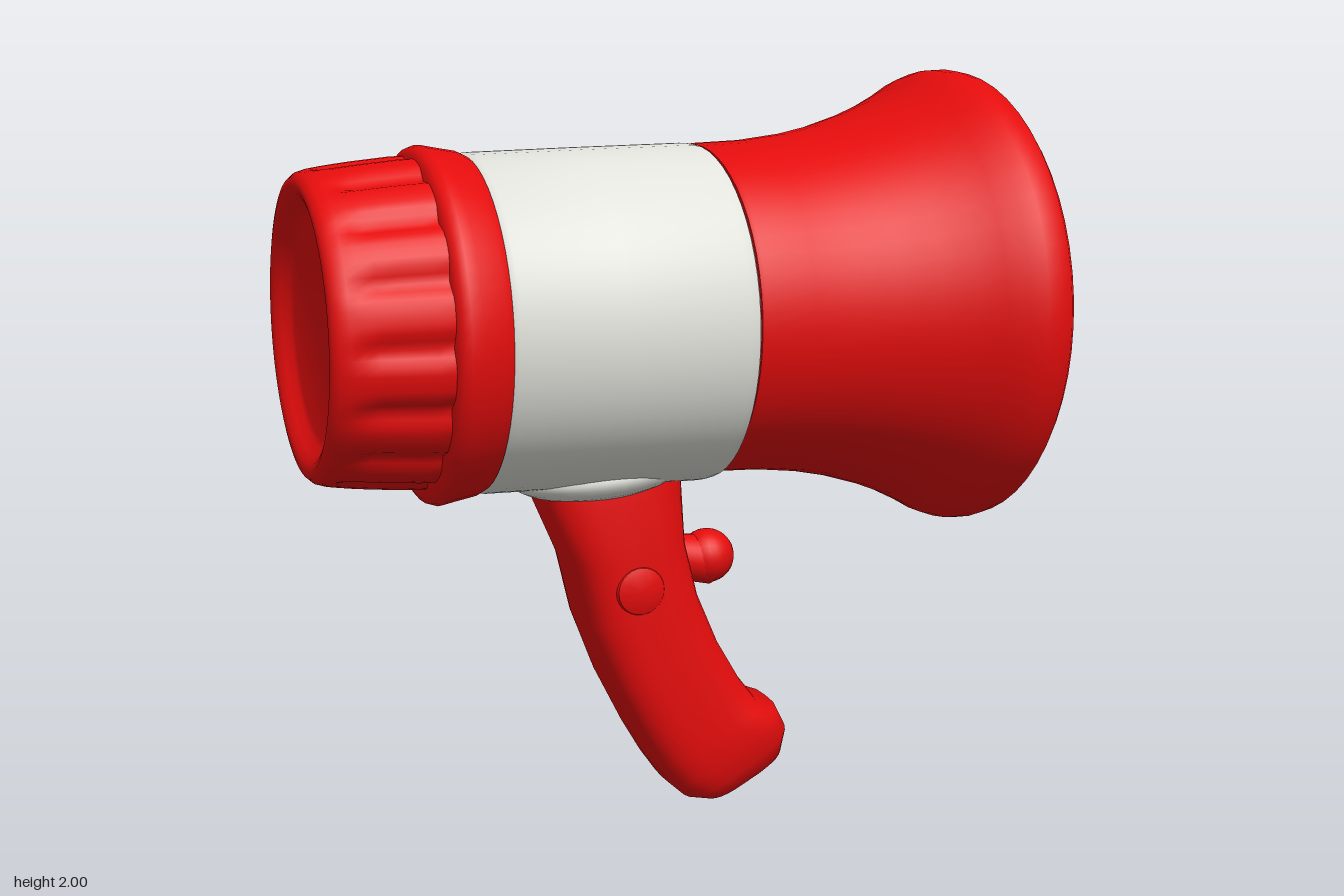
import * as THREE from 'three';
import { toCreasedNormals } from 'three/addons/utils/BufferGeometryUtils.js';

const red = new THREE.MeshStandardMaterial({ color: 0xe40c0c });
red.name = 'red plastic';
const white = new THREE.MeshStandardMaterial({ color: 0xe2e2dc });
white.name = 'off-white plastic';

function addMesh(parent, name, geometry, material, crease = 0.7) {
  const mesh = new THREE.Mesh(toCreasedNormals(geometry, crease), material);
  mesh.name = name;
  parent.add(mesh);
  return mesh;
}

// Profile of [x, radius] pairs revolved about the x axis
function revolve(profile, segments = 56) {
  const points = profile.map(([x, r]) => new THREE.Vector2(r, x));
  return new THREE.LatheGeometry(points, segments).rotateZ(-Math.PI / 2);
}

// Presses evenly spaced narrow grooves into the cap wall, open towards the collar
function flute(geometry, count, start, depth) {
  const p = geometry.attributes.position;
  for (let i = 0; i < p.count; i++) {
    const x = p.getX(i), y = p.getY(i), z = p.getZ(i);
    if (x < start || Math.hypot(y, z) < 0.37) continue;
    const along = Math.min(1, (x - start) / 0.08);
    const around = Math.abs(Math.cos(Math.atan2(z, y) * count / 2)) ** 6;
    const k = 1 - depth * along * around;
    p.setXYZ(i, x, y * k, z * k);
  }
  return geometry;
}

// Skins rounded-box sections, each [backX, backY, frontX, frontY, halfDepth], from top to bottom
function loft(sections, sides = 32) {
  const positions = [], index = [];
  const soften = (v) => Math.sign(v) * Math.abs(v) ** 0.6;
  sections.forEach(([bx, by, fx, fy, depth], i) => {
    for (let j = 0; j < sides; j++) {
      const t = (j / sides) * Math.PI * 2;
      const s = 0.5 + 0.5 * soften(Math.cos(t));
      positions.push(bx + (fx - bx) * s, by + (fy - by) * s, depth * soften(Math.sin(t)));
      if (i === sections.length - 1) continue;
      const a = i * sides + j, b = i * sides + (j + 1) % sides;
      index.push(a, b, a + sides, b, b + sides, a + sides);
    }
  });
  const geometry = new THREE.BufferGeometry();
  geometry.setAttribute('position', new THREE.Float32BufferAttribute(positions, 3));
  geometry.setIndex(index);
  return geometry;
}

// Group for revolved parts whose cross-section is slightly oval
function ovalGroup(parent, name, y, scaleY) {
  const group = new THREE.Group();
  group.name = name;
  group.position.y = y;
  group.scale.y = scaleY;
  parent.add(group);
  return group;
}

export function createModel() {
  const model = new THREE.Group();
  model.name = 'megaphone';

  // Flared horn with its lining and core
  const horn = ovalGroup(model, 'horn', 1.38, 0.96);
  addMesh(horn, 'bell', revolve([
    [0.14, 0.4], [0.14, 0.454], [0.15, 0.458], [0.28, 0.463], [0.4, 0.478], [0.5, 0.5],
    [0.6, 0.532], [0.68, 0.565], [0.75, 0.602], [0.8, 0.633], [0.84, 0.648], [0.875, 0.65],
    [0.91, 0.642], [0.927, 0.622], [0.931, 0.6], [0.928, 0.57], [0.91, 0.548],
  ]), red);

  addMesh(horn, 'bellLining', revolve([
    [0.91, 0.548], [0.85, 0.52], [0.75, 0.469], [0.6, 0.386], [0.5, 0.325],
    [0.44, 0.28], [0.41, 0.245], [0.4, 0],
  ]), white);

  addMesh(horn, 'speakerCore', revolve([
    [0.4, 0.25], [0.43, 0.22], [0.48, 0.2], [0.55, 0.19], [0.85, 0.168],
    [0.885, 0.16], [0.902, 0.14], [0.905, 0],
  ], 32), white);

  // Barrel and the raised ring behind it
  const barrel = ovalGroup(model, 'barrel', 1.37, 0.985);
  addMesh(barrel, 'body', revolve([
    [-0.5, 0.38], [-0.5, 0.438], [-0.485, 0.447], [-0.2, 0.453], [0.11, 0.458],
    [0.135, 0.453], [0.142, 0.44], [0.142, 0.38],
  ]), white);

  addMesh(barrel, 'collar', revolve([
    [-0.645, 0.4], [-0.642, 0.445], [-0.63, 0.462], [-0.61, 0.469], [-0.58, 0.463],
    [-0.52, 0.452], [-0.5, 0.442], [-0.495, 0.38],
  ]), red);

  // Fluted end cap with a recessed disc
  const rear = ovalGroup(model, 'rear', 1.38, 0.96);
  const cap = revolve([
    [-0.885, 0], [-0.885, 0.295], [-0.892, 0.315], [-0.912, 0.335], [-0.927, 0.355],
    [-0.934, 0.375], [-0.93, 0.394], [-0.915, 0.408], [-0.89, 0.416], [-0.86, 0.421],
    [-0.82, 0.427], [-0.77, 0.433], [-0.72, 0.438], [-0.68, 0.442], [-0.635, 0.444],
  ], 128);
  addMesh(rear, 'rearCap', flute(cap, 16, -0.9, 0.05), red, 0.8);

  // Curved grip with a rounded foot
  addMesh(model, 'grip', loft([
    [-0.32, 0.96, 0.08, 0.98, 0.15],
    [-0.31, 0.88, 0.075, 0.92, 0.158],
    [-0.24, 0.72, 0.083, 0.76, 0.163],
    [-0.2, 0.55, 0.12, 0.61, 0.163],
    [-0.135, 0.38, 0.18, 0.47, 0.163],
    [-0.055, 0.22, 0.25, 0.35, 0.163],
    [0, 0.125, 0.3, 0.285, 0.162],
    [0.045, 0.06, 0.36, 0.262, 0.158],
    [0.09, 0.018, 0.392, 0.2, 0.145],
    [0.15, 0.002, 0.383, 0.13, 0.12],
    [0.22, 0.018, 0.35, 0.082, 0.08],
    [0.285, 0.048, 0.285, 0.048, 0],
  ]), red, 1.2);

  // Swelling where the grip meets the body
  const boss = addMesh(model, 'gripMount', new THREE.SphereGeometry(1, 32, 16), white);
  boss.scale.set(0.25, 0.08, 0.22);
  boss.position.set(-0.14, 0.97, 0);
  boss.rotation.z = 0.1;

  // Trigger ball on a tapered stalk
  const trigger = new THREE.Group();
  trigger.name = 'trigger';
  trigger.position.set(0.178, 0.69, 0);
  model.add(trigger);
  addMesh(trigger, 'triggerBall', new THREE.SphereGeometry(0.075, 24, 16), red);
  const stalk = addMesh(trigger, 'triggerStalk', new THREE.CylinderGeometry(0.06, 0.07, 0.14, 20), red);
  stalk.rotation.z = Math.PI / 2 - 0.15;
  stalk.position.x = -0.06;

  // Round buttons on both sides of the grip
  for (const side of [1, -1]) {
    const button = addMesh(model, side > 0 ? 'frontButton' : 'rearButton', revolve([
      [0, 0.074], [0.025, 0.072], [0.04, 0.064], [0.047, 0.045], [0.049, 0],
    ], 28), red);
    button.rotation.y = -side * Math.PI / 2;
    button.position.set(-0.075, 0.655, side * 0.125);
  }

  return model;
}
